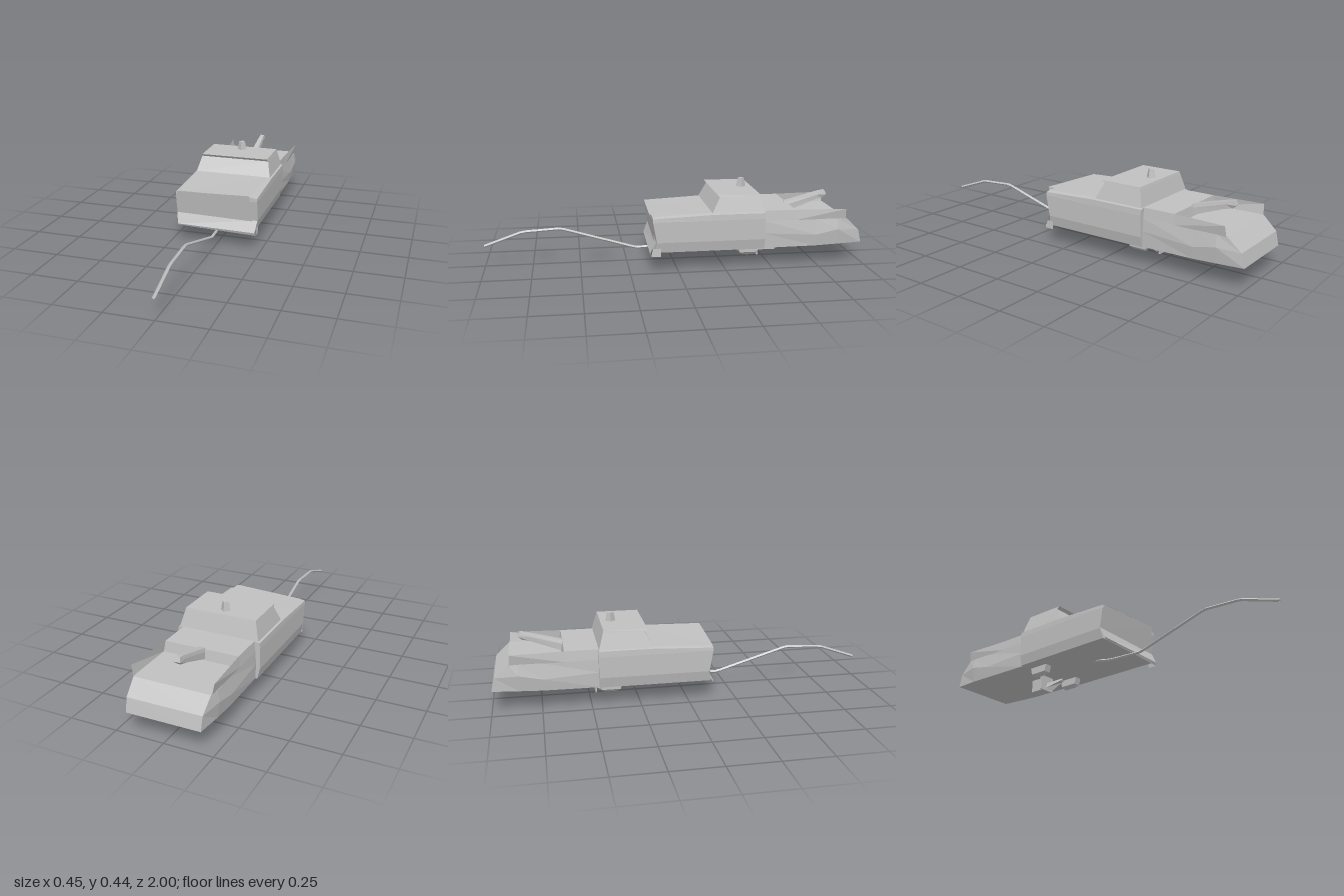
import * as THREE from 'three';

const grey = new THREE.MeshStandardMaterial({ color: 0xc0c0c0, side: THREE.DoubleSide, flatShading: true });
grey.name = 'bareGrey';

function mesh(name, geometry) {
  const m = new THREE.Mesh(geometry, grey);
  m.name = name;
  return m;
}

// Skin closed rings of [x, y, z] points, ordered from back to front, and cap both ends.
function loft(name, rings) {
  const pos = [];
  const tri = (a, b, c) => pos.push(...a, ...b, ...c);
  const n = rings[0].length;
  for (let s = 0; s < rings.length - 1; s++) {
    for (let i = 0; i < n; i++) {
      const j = (i + 1) % n, a = rings[s], b = rings[s + 1];
      tri(a[i], a[j], b[j]);
      tri(a[i], b[j], b[i]);
    }
  }
  const back = rings[0], front = rings[rings.length - 1];
  for (let i = 0, k = n - 1; i + 1 < k; i++, k--) {
    tri(front[i], front[i + 1], front[k]);
    tri(back[i], back[k], back[i + 1]);
    if (i + 1 < k - 1) {
      tri(front[i + 1], front[k - 1], front[k]);
      tri(back[i + 1], back[k], back[k - 1]);
    }
  }
  const g = new THREE.BufferGeometry();
  g.setAttribute('position', new THREE.Float32BufferAttribute(pos, 3));
  g.computeVertexNormals();
  return mesh(name, g);
}

// Mirror the left half of a section (bottom to top) into a full ring.
const ring = half => [...half, ...half.slice().reverse().map(([x, y, z]) => [-x, y, z])];

// Thin bent sheet through four corners: lower right, lower left, upper left, upper right.
function sheet(name, a, b, c, d) {
  const g = new THREE.BufferGeometry();
  g.setAttribute('position', new THREE.Float32BufferAttribute([...a, ...b, ...c, ...a, ...c, ...d], 3));
  g.computeVertexNormals();
  return mesh(name, g);
}

export function createModel() {
  const model = new THREE.Group();
  model.name = 'wreckedTruck';

  // Front body with hood
  const bodySection = (zb, zm, zt, top) => ring([
    [0.21, 0.1, zb], [0.223, 0.155, zm], [0.224, 0.265, zt], [0.222, top - 0.005, zt], [0.195, top, zt]]);
  model.add(loft('frontBody', [
    bodySection(-0.46, -0.46, -0.46, 0.3),
    bodySection(-0.18, -0.18, -0.18, 0.3),
    bodySection(0.12, 0.11, 0.13, 0.287)]));
  model.add(sheet('hood', [-0.2, 0.288, 0.132], [0.187, 0.3, 0.145], [0.205, 0.302, -0.18], [-0.205, 0.302, -0.18]));

  // Cab with sloping windscreen and a small roof lip
  model.add(loft('cab', [
    ring([[0.213, 0.3, -0.457], [0.192, 0.382, -0.434], [0.189, 0.395, -0.43]]),
    ring([[0.213, 0.3, -0.18], [0.192, 0.381, -0.222], [0.188, 0.395, -0.207]])]));

  // Crumpled front panel and flared bumper
  model.add(sheet('frontPanel', [-0.222, 0.157, 0.112], [0.195, 0.153, 0.12], [0.185, 0.3, 0.146], [-0.215, 0.284, 0.134]));
  model.add(sheet('bumper', [-0.212, 0.1, 0.136], [0.215, 0.098, 0.146], [0.222, 0.157, 0.115], [-0.225, 0.157, 0.112]));
  model.add(sheet('bumperLip', [-0.21, 0.092, 0.132], [0.22, 0.082, 0.14], [0.215, 0.098, 0.146], [-0.212, 0.1, 0.136]));
  model.add(sheet('bumperEnd', [0.22, 0.082, 0.14], [0.222, 0.082, 0.09], [0.22, 0.125, 0.09], [0.218, 0.125, 0.13]));

  // Rear body, dented outward near the tail
  model.add(loft('rearBody', [
    ring([[0.19, 0.11, -0.997], [0.192, 0.18, -0.98], [0.197, 0.247, -0.908]]),
    ring([[0.2, 0.107, -0.86], [0.213, 0.19, -0.86], [0.203, 0.247, -0.86]]),
    ring([[0.203, 0.103, -0.74], [0.212, 0.165, -0.74], [0.2, 0.247, -0.74]]),
    ring([[0.2, 0.1, -0.46], [0.203, 0.18, -0.46], [0.2, 0.247, -0.46]])]));
  model.add(loft('deck', [
    ring([[0.2, 0.245, -0.64], [0.194, 0.3, -0.63]]),
    ring([[0.2, 0.245, -0.455], [0.194, 0.3, -0.455]])]));

  // Thin side walls of the bed
  for (const s of [-1, 1]) {
    model.add(sheet(s > 0 ? 'leftBedWall' : 'rightBedWall',
      [s * 0.2, 0.245, -0.63], [s * 0.2, 0.245, -0.905], [s * 0.21, 0.3, -0.9], [s * 0.194, 0.3, -0.63]));
  }

  // Raised boom over the bed
  model.add(loft('boom', [
    ring([[0.009, 0.318, -0.835], [0.016, 0.337, -0.855], [0.012, 0.36, -0.845]]),
    ring([[0.015, 0.312, -0.8], [0.016, 0.335, -0.8], [0.012, 0.355, -0.815]]),
    ring([[0.022, 0.25, -0.63], [0.022, 0.285, -0.625], [0.017, 0.303, -0.62]])]));

  // Roof lamp
  const lamp = mesh('roofLamp', new THREE.CylinderGeometry(0.017, 0.027, 0.047, 4));
  lamp.position.set(-0.002, 0.417, -0.375);
  model.add(lamp);

  // Trailing cable
  const points = [[1, 0.11], [0.8, 0.18], [0.6, 0.191], [0.2, 0.071], [0, 0.08], [-0.12, 0.105]]
    .map(([z, y]) => new THREE.Vector3(-0.002, y, z));
  const path = new THREE.CurvePath();
  for (let i = 0; i < points.length - 1; i++) path.add(new THREE.LineCurve3(points[i], points[i + 1]));
  model.add(mesh('cable', new THREE.TubeGeometry(path, 40, 0.008, 4, false)));

  // Fittings under the body
  const plate = mesh('underPlate', new THREE.BoxGeometry(0.095, 0.085, 0.008));
  plate.position.set(0, 0.0575, -0.465);
  model.add(plate);
  const keel = mesh('underKeel', new THREE.BoxGeometry(0.008, 0.07, 0.11));
  keel.position.set(0, 0.066, -0.52);
  model.add(keel);
  for (const x of [-0.125, 0.122]) {
    model.add(loft('underBracket', [
      [[x, 0.045, -0.43], [x + 0.02, 0.062, -0.44], [x + 0.02, 0.105, -0.45], [x - 0.02, 0.105, -0.45], [x - 0.02, 0.062, -0.44]],
      [[x, 0.045, -0.36], [x + 0.02, 0.062, -0.345], [x + 0.02, 0.105, -0.335], [x - 0.02, 0.105, -0.335], [x - 0.02, 0.062, -0.345]]]));
  }
  model.add(loft('towHook', [
    [[-0.002, 0.001, -0.42], [0.01, 0.028, -0.455], [-0.002, 0.06, -0.46], [-0.014, 0.028, -0.455]],
    [[-0.002, 0.035, -0.35], [0.01, 0.045, -0.345], [-0.002, 0.06, -0.34], [-0.014, 0.045, -0.345]]]));

  return model;
}
